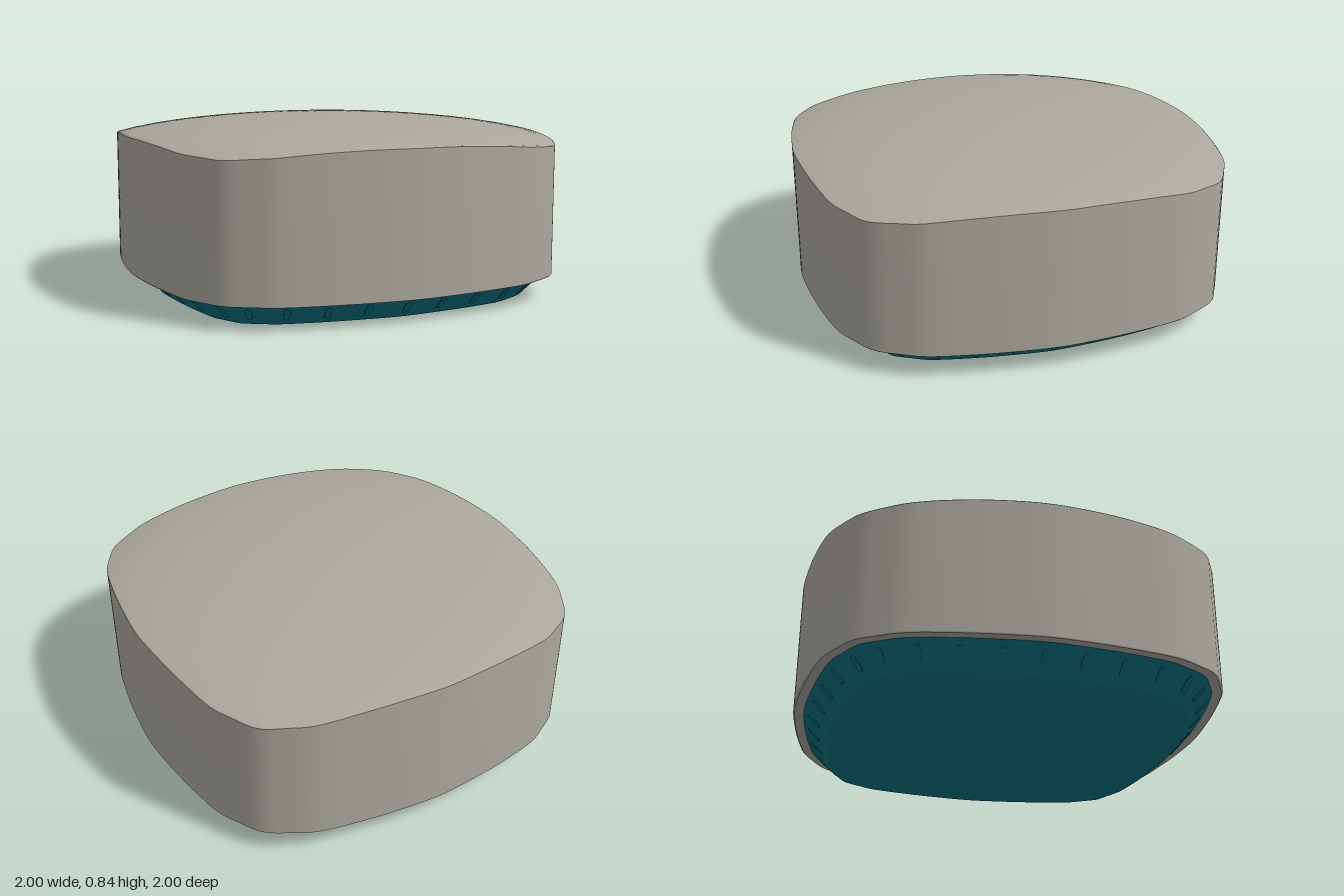
import * as THREE from 'three';

const SLOTS = 36;
const COUNT = SLOTS * 5;

// Soft-square outline: one eighth, mirrored into the full loop
function makeOutline() {
  const eighth = [[1, 0], [0.986, 0.2], [0.959, 0.4], [0.915, 0.6], [0.87, 0.69], [0.8, 0.8]];
  const quarter = eighth.concat(eighth.slice(1, -1).reverse().map(([x, z]) => [z, x]));
  const points = [];
  for (let q = 0; q < 4; q++) {
    for (const [x, z] of quarter) {
      let p = [x, z];
      for (let k = 0; k < q; k++) p = [-p[1], p[0]];
      points.push(new THREE.Vector3(p[0], 0, p[1]));
    }
  }
  const curve = new THREE.CatmullRomCurve3(points, true);
  curve.arcLengthDivisions = 800;
  return Array.from({ length: COUNT }, (_, i) => {
    const t = curve.getTangentAt(i / COUNT);
    return { p: curve.getPointAt(i / COUNT), n: new THREE.Vector3(t.z, 0, -t.x).normalize() };
  });
}

const outline = makeOutline();

// Point on the outline moved inward by inset, then scaled
function ringPoint(i, inset, scale, y) {
  const { p, n } = outline[i % COUNT];
  const v = p.clone().addScaledVector(n, -inset).multiplyScalar(scale);
  v.y = typeof y === 'function' ? y(Math.hypot(v.x, v.z)) : y;
  return v;
}

// Skin between rings [inset, scale, y], listed from the underside to the top
function loft(rings) {
  const pos = [], index = [];
  rings.forEach(([inset, scale, y], r) => {
    for (let i = 0; i < COUNT; i++) {
      pos.push(...ringPoint(i, inset, scale, y).toArray());
      if (r === 0) continue;
      const j = (i + 1) % COUNT, lo = (r - 1) * COUNT, hi = r * COUNT;
      index.push(lo + i, hi + i, lo + j, hi + i, hi + j, lo + j);
    }
  });
  const g = new THREE.BufferGeometry();
  g.setAttribute('position', new THREE.Float32BufferAttribute(pos, 3));
  g.setIndex(index);
  g.computeVertexNormals();
  return g;
}

// Height of the domed top at a distance from the centre
const dome = (r) => 0.845 - 0.075 * r ** 2 - 0.01 * r ** 8;

function slotGeometry(length, width, depth) {
  const r = width / 2, h = length / 2 - r;
  const s = new THREE.Shape();
  s.absarc(0, h, r, 0, Math.PI);
  s.absarc(0, -h, r, Math.PI, Math.PI * 2);
  s.closePath();
  return new THREE.ExtrudeGeometry(s, { depth, bevelEnabled: false, curveSegments: 6 });
}

export function createModel() {
  const model = new THREE.Group();
  const grey = new THREE.MeshStandardMaterial({ name: 'warm grey', color: 0xaba79e });
  const teal = new THREE.MeshStandardMaterial({ name: 'deep teal', color: 0x0a7280 });
  const add = (name, geometry, material, parent = model) => {
    const mesh = new THREE.Mesh(geometry, material);
    mesh.name = name;
    parent.add(mesh);
    return mesh;
  };

  // Body shell
  const body = new THREE.Group();
  body.name = 'body';
  model.add(body);
  add('bodyUnderside', loft([[0, 0.85, 0.108], [0.006, 1, 0.108]]), grey, body);
  add('bodyWall', loft([[0.006, 1, 0.108], [0, 1, 0.114], [0, 1, (r) => dome(r) - 0.004]]), grey, body);
  const topRings = [[0, 1, (r) => dome(r) - 0.004], [0.006, 1, dome]];
  for (let k = 11; k >= 0; k--) topRings.push([0.006, Math.max(k / 12, 0.001), dome]);
  add('domedTop', loft(topRings), grey, body);

  // Tapered base
  const base = new THREE.Group();
  base.name = 'base';
  model.add(base);
  add('baseChamfer', loft([[0.165, 1, 0], [0.15, 1, 0.008], [0.05, 1, 0.108]]), teal, base);
  add('baseFloor', loft([[0.165, 0.001, 0], [0.165, 1, 0]]), teal, base);

  // Row of rounded ribs around the chamfer
  const ribs = new THREE.Group();
  ribs.name = 'chamferRibs';
  base.add(ribs);
  const ribShape = slotGeometry(0.08, 0.028, 0.005);
  for (let i = 0; i < SLOTS; i++) {
    const at = i * 5;
    const low = ringPoint(at, 0.15, 1, 0.008), high = ringPoint(at, 0.05, 1, 0.108);
    const up = high.clone().sub(low).normalize();
    const side = new THREE.Vector3(0, 1, 0).cross(outline[at].n).normalize();
    const out = side.clone().cross(up);
    const rib = add('chamferRib', ribShape, teal, ribs);
    rib.quaternion.setFromRotationMatrix(new THREE.Matrix4().makeBasis(side, up, out));
    rib.position.copy(low).lerp(high, 0.5).addScaledVector(out, -0.001);
  }
  return model;
}
